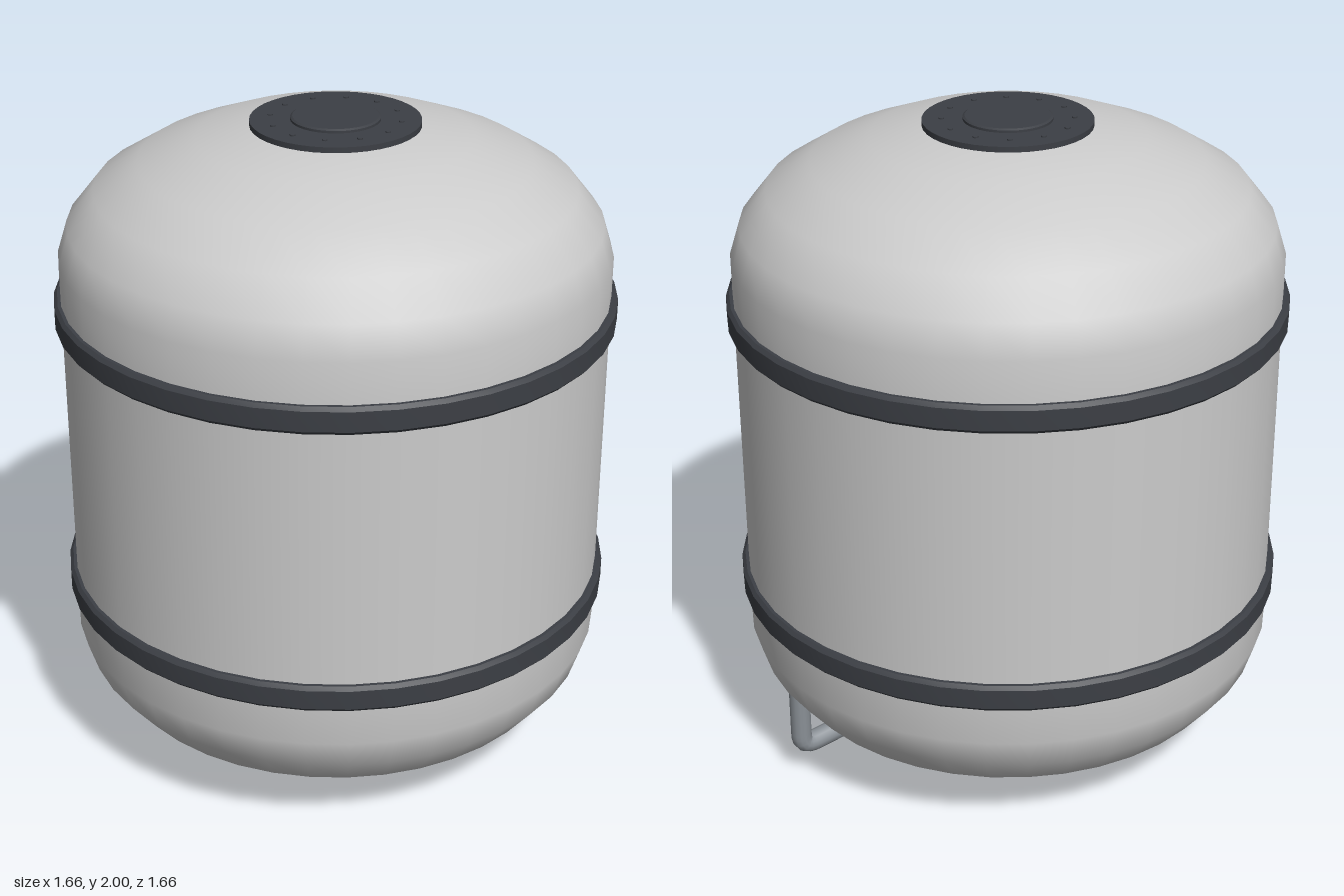
import * as THREE from 'three';
import { toCreasedNormals } from 'three/addons/utils/BufferGeometryUtils.js';

const SIDES = 40;
const shell = new THREE.MeshStandardMaterial({ color: 0xcccccc });
const dark = new THREE.MeshStandardMaterial({ color: 0x3c3f45 });
const steel = new THREE.MeshStandardMaterial({ color: 0x8a9096 });

function lathe(points, sides = SIDES) {
  return new THREE.LatheGeometry(points.map(([r, y]) => new THREE.Vector2(r, y)), sides);
}

function add(parent, name, geometry, material, y = 0) {
  const mesh = new THREE.Mesh(geometry, material);
  mesh.name = name;
  mesh.position.y = y;
  parent.add(mesh);
  return mesh;
}

export function createModel() {
  const model = new THREE.Group();
  model.name = 'storageTank';

  // Tank: one domed half profile, mirrored about mid height
  const half = [[0, 0.004], [0.2, 0.018], [0.4, 0.058], [0.57, 0.125], [0.7, 0.205], [0.78, 0.305], [0.81, 0.4], [0.81, 0.56]];
  const mirrored = half.map(([r, y]) => [r, 2 - y]).reverse();
  mirrored[mirrored.length - 1][1] = 1.986;
  add(model, 'tankShell', lathe([...half, ...mirrored]), shell);

  // Chamfered straps around the cylinder
  const strap = toCreasedNormals(lathe([
    [0.8, -0.041], [0.82, -0.041], [0.83, -0.03], [0.83, 0.03], [0.82, 0.041], [0.8, 0.041],
  ]), 0.5);
  add(model, 'lowerStrap', strap, dark, 0.563);
  add(model, 'upperStrap', strap, dark, 1.437);

  // Hatch on top: flange, raised cover with a bevelled rim, ring of bolts
  const hatch = new THREE.Group();
  hatch.name = 'topHatch';
  model.add(hatch);
  add(hatch, 'hatchFlange', new THREE.CylinderGeometry(0.247, 0.247, 0.022, SIDES), dark, 1.978);
  add(hatch, 'hatchCover', toCreasedNormals(lathe([
    [0.13, 1.985], [0.13, 1.996], [0.124, 2], [0, 2],
  ]), 0.5), dark);
  const bolt = new THREE.CylinderGeometry(0.008, 0.008, 0.006, 6);
  for (let i = 0; i < 12; i++) {
    const a = (i / 12) * Math.PI * 2;
    const mesh = add(hatch, 'flangeBolt', bolt, dark, 1.99);
    mesh.position.x = 0.19 * Math.cos(a);
    mesh.position.z = 0.19 * Math.sin(a);
  }

  // Bent pipe on the left underside, both ends sunk into the dome
  const v = (x, y) => new THREE.Vector3(x, y, 0);
  const path = new THREE.CurvePath();
  path.add(new THREE.LineCurve3(v(0.745, 0.32), v(0.745, 0.15)));
  path.add(new THREE.CubicBezierCurve3(v(0.745, 0.15), v(0.745, 0.115), v(0.735, 0.102), v(0.69, 0.109)));
  path.add(new THREE.LineCurve3(v(0.69, 0.109), v(0.5, 0.143)));
  add(model, 'drainPipe', new THREE.TubeGeometry(path, 32, 0.032, 14, false), steel);

  return model;
}
